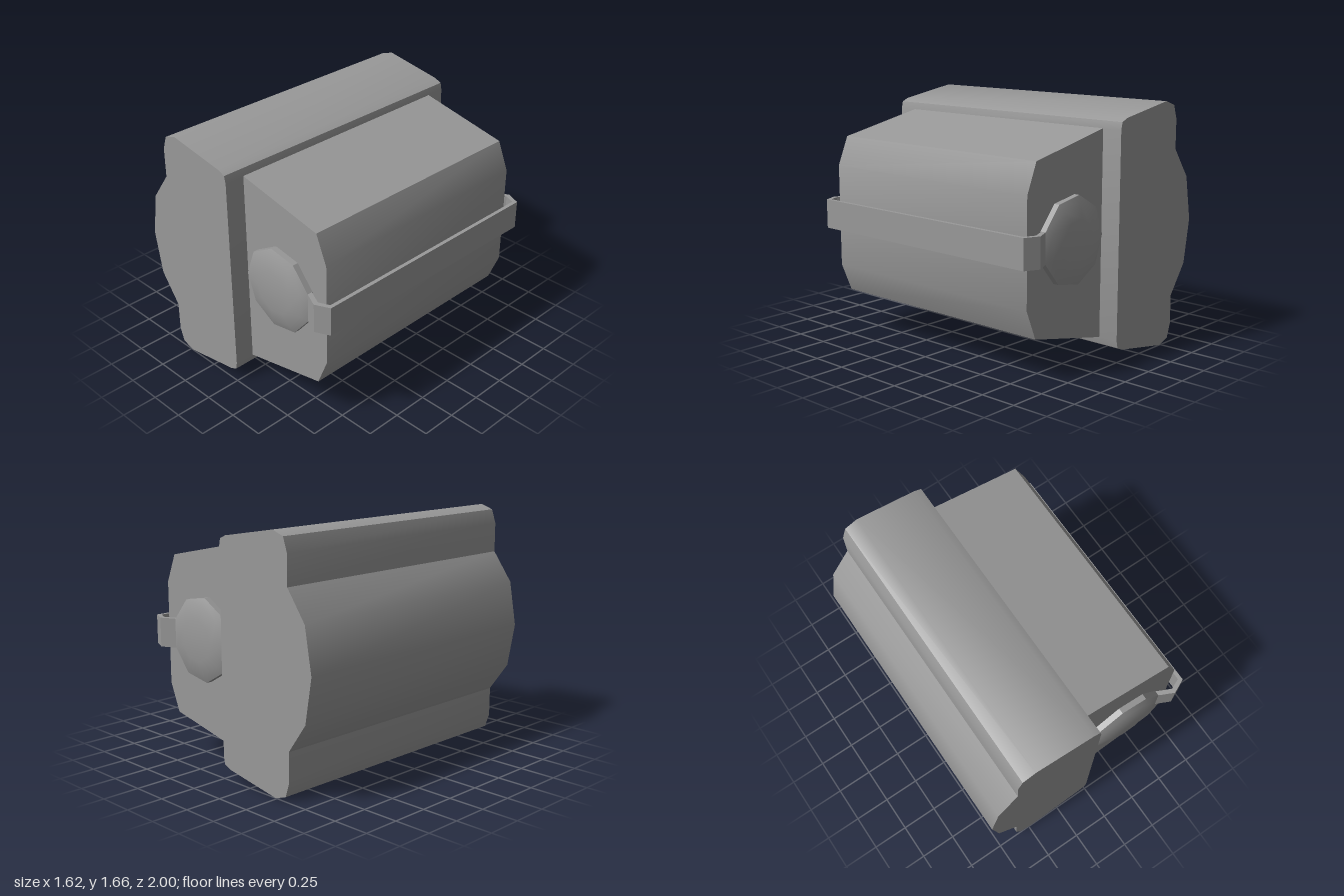
import * as THREE from 'three';
import { toCreasedNormals } from 'three/addons/utils/BufferGeometryUtils.js';

const material = new THREE.MeshStandardMaterial({ color: 0x999999 });
const CREASE = 0.6;

function addMesh(group, name, geometry) {
  const mesh = new THREE.Mesh(toCreasedNormals(geometry, CREASE), material);
  mesh.name = name;
  group.add(mesh);
}

// Extrudes a closed outline along z, centred on z = 0
function prism(points, depth) {
  const shape = new THREE.Shape(points.map(([x, y]) => new THREE.Vector2(x, y)));
  return new THREE.ExtrudeGeometry(shape, { depth, bevelEnabled: false }).translate(0, 0, -depth / 2);
}

// Completes an upper half outline by mirroring it about y = mid
function mirrored(half, mid) {
  const lower = half.filter(([, y]) => y !== mid).map(([x, y]) => [x, 2 * mid - y]);
  return [...half, ...lower.reverse()];
}

export function createModel() {
  const model = new THREE.Group();
  model.name = 'model';
  const mid = 0.828;

  // Long main housing with a bulging back
  const housing = [
    [0.003, 1.51], [-0.008, 1.56], [-0.058, 1.582], [-0.487, 1.656], [-0.578, 1.625],
    [-0.61, 1.53], [-0.61, 1.33], [-0.755, 1.13], [-0.808, mid],
  ];
  addMesh(model, 'housing', prism(mirrored(housing, mid), 2));

  // Tapered block in front of the housing
  const block = [[0.727, 1.18], [0.646, 1.375], [0.003, 1.512]];
  addMesh(model, 'frontBlock', prism(mirrored(block, mid), 1.72));

  // Nine-sided domed pivots on both ends
  const dome = [[0.288, 0.85], [0.288, 0.9], [0.235, 0.922], [0.145, 0.941], [0, 0.943]]
    .map(([r, h]) => new THREE.Vector2(r, h));
  for (const side of [1, -1]) {
    const pivot = new THREE.LatheGeometry(dome, 9, -Math.PI / 2)
      .rotateX(side * Math.PI / 2).translate(0.335, 0.847, 0);
    addMesh(model, side > 0 ? 'frontPivot' : 'backPivot', pivot);
  }

  // Thin bail handle joining the two pivots
  const outer = [[0.605, 0.9], [0.708, 0.948], [0.808, 0.902]];
  const inner = [[0.782, 0.882], [0.708, 0.914], [0.605, 0.866]];
  const flip = (pts) => pts.map(([x, z]) => [x, -z]).reverse();
  const strap = [...outer, ...flip(outer), ...flip(inner), ...inner];
  const handle = prism(strap, 0.2).rotateX(Math.PI / 2).translate(0, 0.847, 0);
  addMesh(model, 'handle', handle);

  return model;
}
